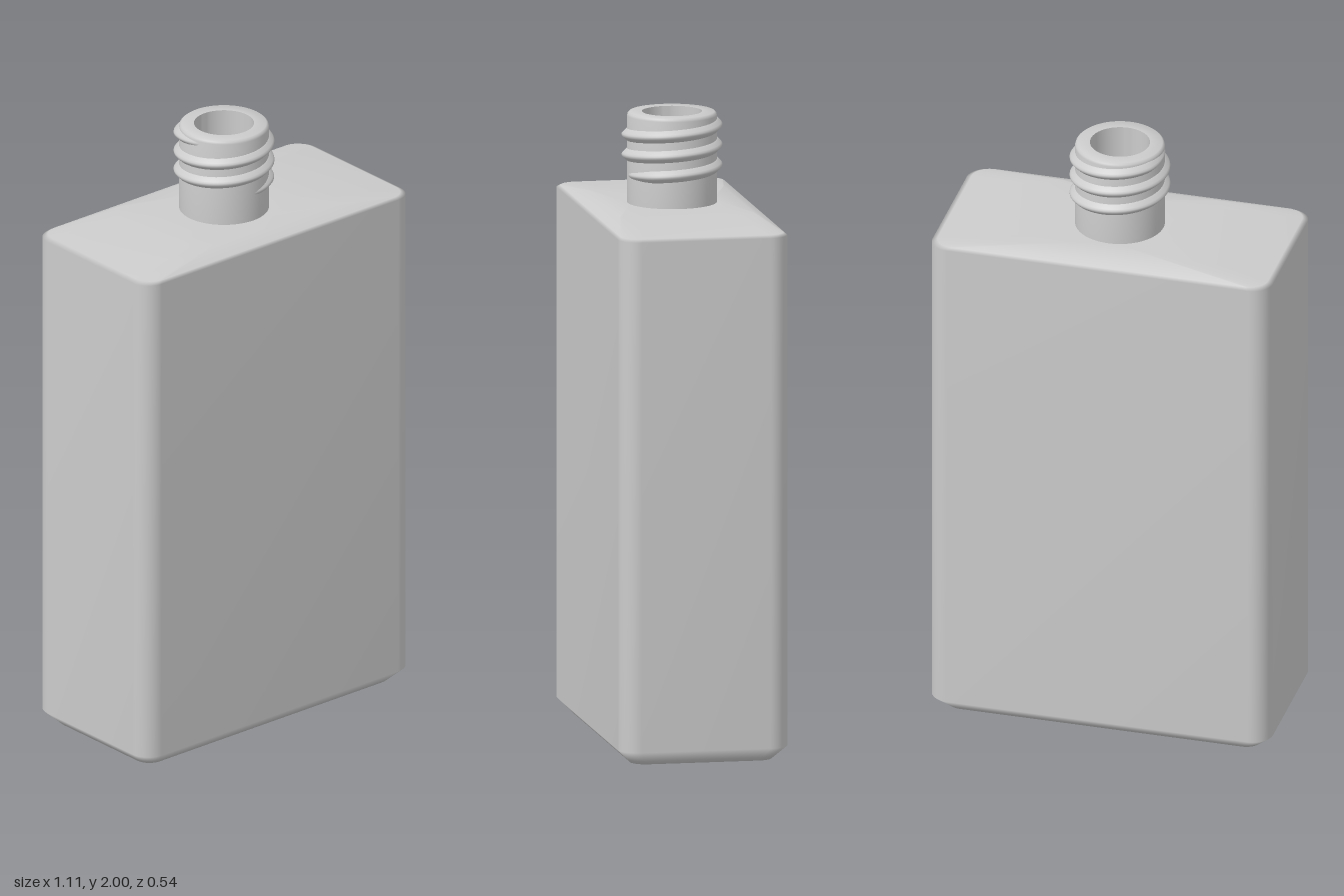
import * as THREE from 'three';
import { toCreasedNormals } from 'three/addons/utils/BufferGeometryUtils.js';

const material = new THREE.MeshStandardMaterial({ color: 0xcccccc });

// Skin a list of equal-length point rows; closed joins each row end to start
function skin(rows, closed) {
  const n = rows[0].length, index = [];
  for (let i = 0; i < rows.length - 1; i++) {
    for (let j = 0; j < (closed ? n : n - 1); j++) {
      const k = (j + 1) % n;
      const a = i * n + j, b = i * n + k, c = b + n, d = a + n;
      index.push(a, b, c, a, c, d);
    }
  }
  const geometry = new THREE.BufferGeometry().setFromPoints(rows.flat());
  geometry.setIndex(index);
  geometry.computeVertexNormals();
  return geometry;
}

// Horizontal rounded rectangle; hx = hz = r gives a circle
function section([y, hx, hz, r], steps = 10) {
  const points = [];
  [[1, -1], [-1, -1], [-1, 1], [1, 1]].forEach(([sx, sz], q) => {
    for (let i = 0; i <= steps; i++) {
      const a = (q + i / steps) * Math.PI / 2;
      points.push(new THREE.Vector3(
        sx * (hx - r) + r * Math.cos(a), y, sz * (hz - r) - r * Math.sin(a)));
    }
  });
  return points;
}

export function createModel() {
  const group = new THREE.Group();
  const add = (name, geometry) => {
    const mesh = new THREE.Mesh(geometry, material);
    mesh.name = name;
    group.add(mesh);
  };

  // Outer body: base, chamfer, straight walls, sloped shoulder
  add('body', skin([
    [0, 0, 0, 0],
    [0, 0.512, 0.227, 0.05],
    [0.012, 0.524, 0.239, 0.053],
    [0.045, 0.557, 0.272, 0.065],
    [1.68, 0.557, 0.272, 0.065],
    [1.688, 0.54, 0.262, 0.06],
    [1.71, 0.29, 0.215, 0.05],
    [1.71, 0.14, 0.14, 0.14],
  ].map((s) => section(s)), true));

  // Inner cavity, running from the bore down to the floor
  add('cavity', skin([
    [1.67, 0.095, 0.095, 0.095],
    [1.67, 0.27, 0.18, 0.04],
    [1.64, 0.52, 0.235, 0.04],
    [0.09, 0.52, 0.235, 0.04],
    [0.05, 0.48, 0.195, 0.03],
    [0.05, 0, 0, 0],
  ].map((s) => section(s)), true));

  // Neck tube with a softened lip
  const neckProfile = [
    [0.142, 1.7], [0.142, 1.988], [0.14, 1.995], [0.134, 2], [0.095, 2], [0.095, 1.67],
  ].map(([x, y]) => new THREE.Vector2(x, y));
  add('neck', toCreasedNormals(new THREE.LatheGeometry(neckProfile, 64), 0.9));

  // Helical screw thread, fading into the neck at both ends
  const ridge = [[0, 0.02], [0.005, 0.017], [0.014, 0.008], [0.018, 0.003],
    [0.018, -0.003], [0.014, -0.008], [0.005, -0.017], [0, -0.02]];
  const turns = 2.8, steps = 200, rows = [];
  for (let i = 0; i <= steps; i++) {
    const t = turns * i / steps, a = t * Math.PI * 2;
    const fade = Math.min(1, t / 0.15, (turns - t) / 0.15);
    rows.push(ridge.map(([h, dy]) => {
      const r = 0.141 + h * fade;
      return new THREE.Vector3(
        r * Math.sin(a), 1.8 + 0.064 * t + dy * (0.3 + 0.7 * fade), r * Math.cos(a));
    }));
  }
  add('screwThread', skin(rows, false));

  return group;
}
